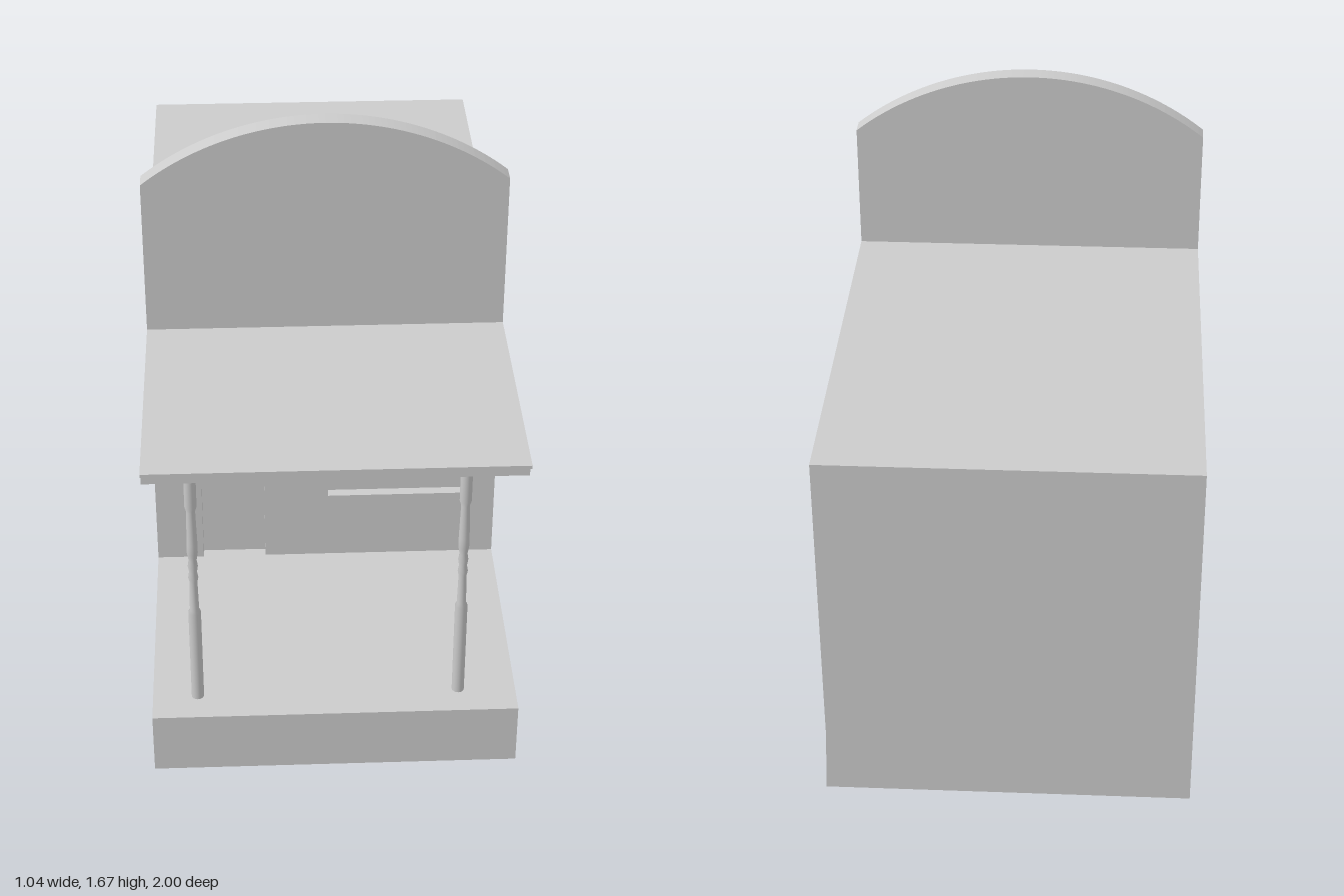
import * as THREE from 'three';

const X0 = -0.52, X1 = 0.51, CX = (X0 + X1) / 2, W = X1 - X0;
const DECK = 0.19, ROOF = 1.115, WALL_BACK = 0.214, WALL_FRONT = 0.27;

export function createModel() {
  const model = new THREE.Group();
  const grey = new THREE.MeshStandardMaterial({ color: 0xcccccc, flatShading: true });
  const smooth = new THREE.MeshStandardMaterial({ color: 0xcccccc });

  const add = (name, geometry, material = grey) => {
    const mesh = new THREE.Mesh(geometry, material);
    mesh.name = name;
    model.add(mesh);
    return mesh;
  };
  // Box given by its minimum and maximum corners
  const box = (x0, x1, y0, y1, z0, z1) =>
    new THREE.BoxGeometry(x1 - x0, y1 - y0, z1 - z0)
      .translate((x0 + x1) / 2, (y0 + y1) / 2, (z0 + z1) / 2);
  const rectangle = (x0, x1, y0, y1) => new THREE.Path([
    new THREE.Vector2(x0, y0), new THREE.Vector2(x0, y1),
    new THREE.Vector2(x1, y1), new THREE.Vector2(x1, y0),
  ]);

  // Base and porch deck; the lower left rear edge flares out slightly
  const rearBase = box(X0, X1, 0, DECK, -1, WALL_FRONT);
  const p = rearBase.attributes.position;
  for (let i = 0; i < p.count; i++) {
    if (p.getX(i) > 0 && p.getY(i) < 0.01 && p.getZ(i) < -0.9) p.setX(i, 0.518);
  }
  rearBase.computeVertexNormals();
  add('rearBase', rearBase);
  add('porchDeck', box(X0, X1, 0, DECK, WALL_FRONT, 1));

  // Main building
  add('building', box(X0, X1, DECK, ROOF, -1, WALL_BACK));

  // False front with arched top, door and window openings
  const half = W / 2, eave = 1.49, rise = 0.183;
  const radius = (half * half + rise * rise) / (2 * rise);
  const angle = Math.asin(half / radius);
  const facade = new THREE.Shape();
  facade.moveTo(X0, DECK);
  facade.lineTo(-0.38, DECK);
  facade.lineTo(-0.38, 0.71);
  facade.lineTo(-0.19, 0.71);
  facade.lineTo(-0.19, DECK);
  facade.lineTo(X1, DECK);
  facade.lineTo(X1, eave);
  facade.absarc(CX, eave + rise - radius, radius, Math.PI / 2 - angle, Math.PI / 2 + angle, false);
  facade.lineTo(X0, DECK);
  facade.holes.push(rectangle(0.003, 0.415, 0.41, 0.71));
  add('falseFront', new THREE.ExtrudeGeometry(facade, {
    depth: WALL_FRONT - WALL_BACK, bevelEnabled: false, curveSegments: 32,
  }).translate(0, 0, WALL_BACK));

  // Recessed panels
  add('door', box(-0.38, -0.19, DECK, 0.71, WALL_BACK, WALL_FRONT - 0.03));
  add('window', box(0.003, 0.415, 0.41, 0.71, WALL_BACK, WALL_FRONT - 0.03));

  // Porch roof: side profile with a moulded front edge, extruded across the width
  const roof = new THREE.Shape();
  roof.moveTo(WALL_FRONT, 0.963);
  roof.lineTo(0.95, 0.963);
  roof.lineTo(0.95, 0.994);
  roof.quadraticCurveTo(0.954, 1.006, 0.966, 1.007);
  roof.lineTo(0.985, 1.009);
  roof.lineTo(0.985, 1.019);
  roof.lineTo(WALL_FRONT, 1.019);
  add('porchRoof', new THREE.ExtrudeGeometry(roof, {
    depth: W, bevelEnabled: false, curveSegments: 6,
  }).rotateY(-Math.PI / 2).translate(X1, 0, 0));

  // Turned porch posts
  const profile = [
    [0.0175, DECK], [0.0175, 0.495], [0.013, 0.505], [0.011, 0.6],
    [0.014, 0.615], [0.011, 0.635], [0.014, 0.655], [0.011, 0.675],
    [0.015, 0.7], [0.015, 0.73], [0.012, 0.84], [0.0165, 0.855], [0.0165, 0.963],
  ].map(([r, y]) => new THREE.Vector2(r, y));
  const postGeometry = new THREE.LatheGeometry(profile, 16);
  for (const [name, x] of [['rightPost', -0.393], ['leftPost', 0.347]]) {
    add(name, postGeometry, smooth).position.set(x, 0, 0.908);
  }

  // The extrusion across the width runs towards -x, so check it meets both walls
  const porchRoof = model.getObjectByName('porchRoof');
  porchRoof.geometry.computeBoundingBox();
  porchRoof.position.x = X0 - porchRoof.geometry.boundingBox.min.x;
  if (porchRoof.geometry.boundingBox.max.z < 0.5) porchRoof.position.z = 0;

  return model;
}
